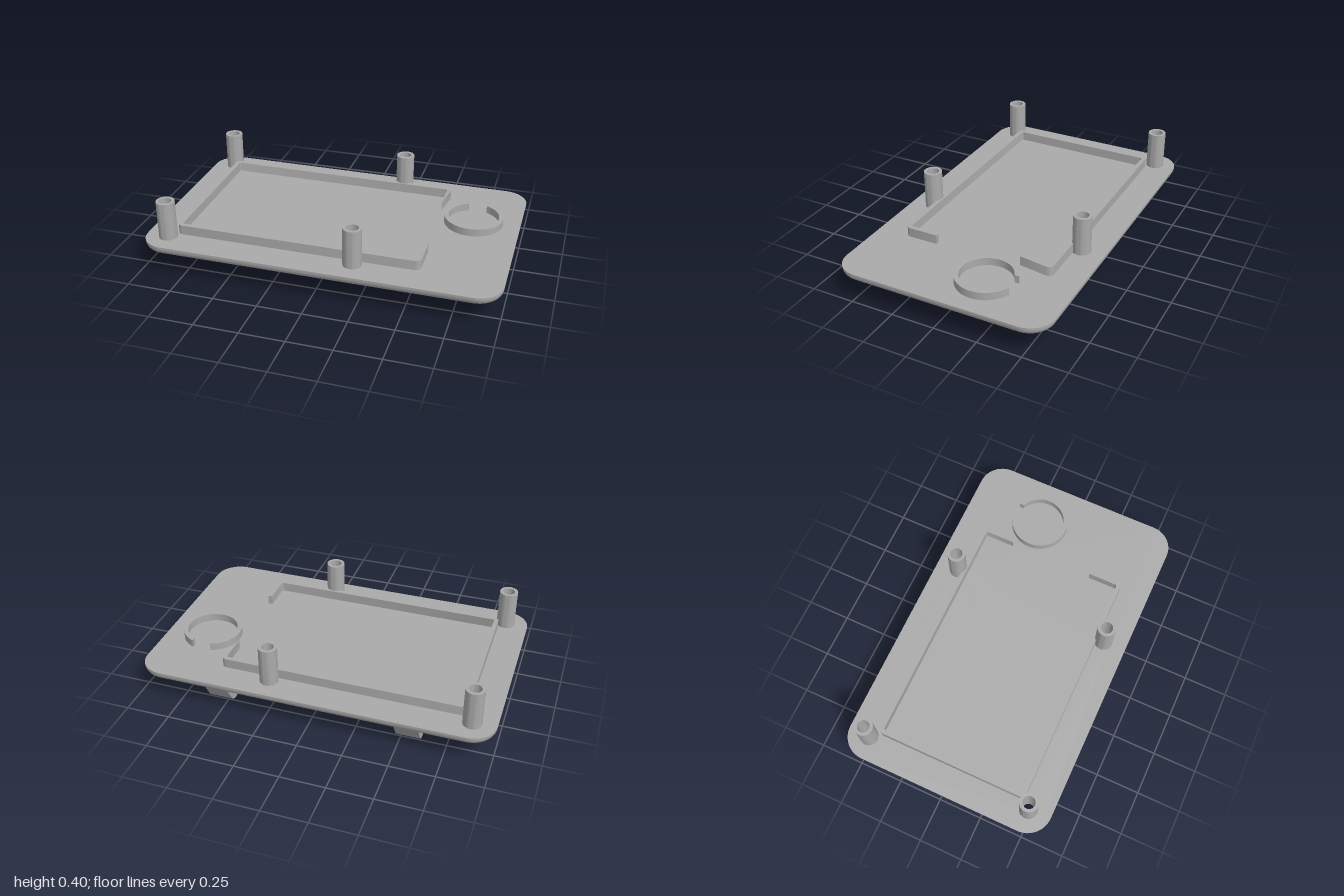
import * as THREE from 'three';
import { toCreasedNormals } from 'three/addons/utils/BufferGeometryUtils.js';

const HALF_X = 1, HALF_Z = 0.615, CORNER = 0.14, ROUND = 0.045;
const BOTTOM = 0.125, TOP = 0.178;
const HOLE = 0.034, POST = 0.052;
const POSTS = [[-0.87, -0.49], [-0.87, 0.485], [0.255, -0.482], [0.195, 0.48]];

// Rounded rectangle, counter-clockwise, shrunk by an inset
function outline(inset) {
  const pts = [], n = 12, r = CORNER - inset;
  [[1, 1], [-1, 1], [-1, -1], [1, -1]].forEach(([sx, sy], k) => {
    for (let i = 0; i <= n; i++) {
      const a = (k + i / n) * Math.PI / 2;
      pts.push(new THREE.Vector2(sx * (HALF_X - CORNER) + r * Math.cos(a), sy * (HALF_Z - CORNER) + r * Math.sin(a)));
    }
  });
  return pts;
}

// Flat plate face with screw holes; dir is +1 for up, -1 for down
function plateFace(inset, holeRadius, y, dir) {
  const shape = new THREE.Shape(outline(inset));
  for (const [x, z] of POSTS) shape.holes.push(new THREE.Path().absarc(x, -z * dir, holeRadius, 0, Math.PI * 2, true));
  return new THREE.ShapeGeometry(shape, 24).rotateX(-dir * Math.PI / 2).translate(0, y, 0);
}

// Plate rim: stacked outlines, rounded towards the bottom
function plateRim() {
  const pos = [], index = [], rows = [], steps = 8;
  for (let i = 0; i <= steps; i++) {
    const a = i / steps * Math.PI / 2;
    rows.push([ROUND * (1 - Math.sin(a)), BOTTOM + ROUND * (1 - Math.cos(a))]);
  }
  rows.push([0, TOP]);
  const n = outline(0).length;
  rows.forEach(([inset, y], j) => {
    outline(inset).forEach((p, i) => {
      pos.push(p.x, y, -p.y);
      if (j === rows.length - 1) return;
      const a = j * n + i, b = j * n + (i + 1) % n;
      index.push(a, b, b + n, a, b + n, a + n);
    });
  });
  const g = new THREE.BufferGeometry();
  g.setAttribute('position', new THREE.Float32BufferAttribute(pos, 3));
  g.setIndex(index);
  g.computeVertexNormals();
  return g;
}

// Raised wall standing on the plate (shape y points to the back)
function wall(shape, top) {
  const g = new THREE.ExtrudeGeometry(shape, { depth: top - TOP, bevelEnabled: false, curveSegments: 48 });
  return toCreasedNormals(g.rotateX(-Math.PI / 2).translate(0, TOP, 0), 0.6);
}

// C-shaped fence, open on its +x side
function fenceShape() {
  const x0 = -0.835, x1 = 0.555, y0 = -0.443, y1 = 0.447, t = 0.025, R = 0.032, r = 0.01;
  const P = Math.PI, s = new THREE.Shape();
  s.moveTo(x1, 0.25);
  s.absarc(x1 - R, y1 - R, R, 0, P / 2, false);
  s.absarc(x0 + R, y1 - R, R, P / 2, P, false);
  s.absarc(x0 + R, y0 + R, R, P, P * 1.5, false);
  s.absarc(x1 - R, y0 + R, R, P * 1.5, P * 2, false);
  s.lineTo(x1, -0.245);
  s.lineTo(x1 - t, -0.245);
  s.absarc(x1 - t - r, y0 + t + r, r, P * 2, P * 1.5, true);
  s.absarc(x0 + t + r, y0 + t + r, r, P * 1.5, P, true);
  s.absarc(x0 + t + r, y1 - t - r, r, P, P / 2, true);
  s.absarc(x1 - t - r, y1 - t - r, r, P / 2, 0, true);
  s.lineTo(x1 - t, 0.25);
  return s;
}

// Round holder with a straight-sided gap at the back
function ringShape() {
  const cx = 0.735, cy = 0.165, R = 0.168, r = 0.143, gap = 0.054;
  const a = Math.acos(gap / R), b = Math.acos(gap / r), P = Math.PI;
  const s = new THREE.Shape();
  s.absarc(cx, cy, R, P - a, 2 * P + a, false);
  s.absarc(cx, cy, r, 2 * P + b, P - b, true);
  return s;
}

// Tapered hanging lug with a cross hole
function lugGeometry(width) {
  const cz = -0.467, cy = 0.062, R = 0.062, half = 0.111;
  const dy = BOTTOM - cy;
  const a = Math.atan2(dy, half) - Math.acos(R / Math.hypot(half, dy));
  const s = new THREE.Shape();
  s.moveTo(cz + half, BOTTOM + 0.002);
  s.lineTo(cz - half, BOTTOM + 0.002);
  s.absarc(cz, cy, R, Math.PI - a, 2 * Math.PI + a, false);
  s.holes.push(new THREE.Path().absarc(cz, cy, HOLE, 0, Math.PI * 2, true));
  const g = new THREE.ExtrudeGeometry(s, { depth: width, bevelEnabled: false, curveSegments: 32 });
  return toCreasedNormals(g.rotateY(-Math.PI / 2).translate(width / 2, 0, 0), 0.5);
}

export function createModel() {
  const model = new THREE.Group();
  model.name = 'enclosureLid';
  const grey = new THREE.MeshStandardMaterial({ color: 0xaaaaaa });
  grey.name = 'grey plastic';
  const add = (name, geometry, parent = model) => {
    const mesh = new THREE.Mesh(geometry, grey);
    mesh.name = name;
    parent.add(mesh);
    return mesh;
  };

  // Base plate
  const plate = new THREE.Group();
  plate.name = 'basePlate';
  model.add(plate);
  add('plateTop', plateFace(0, HOLE, TOP, 1), plate);
  add('plateBottom', plateFace(ROUND, POST, BOTTOM, -1), plate);
  add('plateRim', plateRim(), plate);

  // Hollow screw posts, countersunk from below
  const profile = [[POST, TOP], [POST, 0.4], [HOLE, 0.4], [HOLE, BOTTOM + 0.028], [POST, BOTTOM]]
    .map(([r, y]) => new THREE.Vector2(r, y));
  const post = toCreasedNormals(new THREE.LatheGeometry(profile, 40), 0.5);
  for (const [x, z] of POSTS) add('screwPost', post).position.set(x, 0, z);

  // Raised walls
  add('fence', wall(fenceShape(), 0.233));
  add('ringHolder', wall(ringShape(), 0.222));

  // Hinge lugs under the back edge
  const lug = lugGeometry(0.135);
  for (const x of [-0.542, 0.538]) add('hingeLug', lug).position.x = x;

  return model;
}
